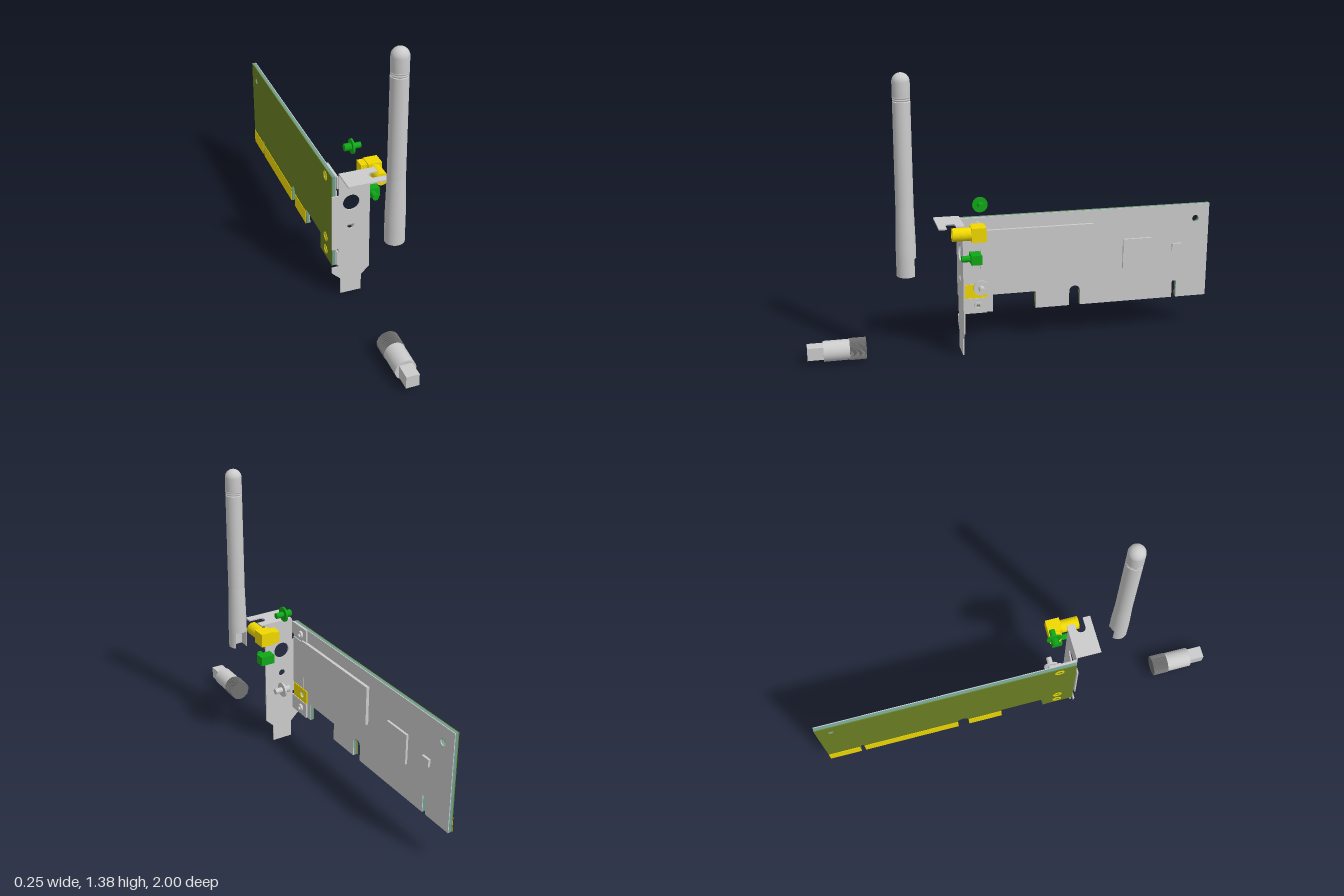
import * as THREE from 'three';

const GREY = 0xcccccc, YELLOW = 0xf0d800, GREEN = 0x10a818, OLIVE = 0x6b7f22, TEAL = 0x6f9d92;

function add(parent, name, geo, color = GREY) {
  const mesh = new THREE.Mesh(geo, new THREE.MeshStandardMaterial({ color }));
  mesh.name = name;
  parent.add(mesh);
}

function addGroup(parent, name) {
  const group = new THREE.Group();
  group.name = name;
  parent.add(group);
  return group;
}

// Box given by its limits on each axis
function box(parent, name, [x0, x1], [y0, y1], [z0, z1], color) {
  const g = new THREE.BoxGeometry(x1 - x0, y1 - y0, z1 - z0);
  add(parent, name, g.translate((x0 + x1) / 2, (y0 + y1) / 2, (z0 + z1) / 2), color);
}

// Cylinder along x or z between two positions
function rod(parent, name, axis, r, a, b, c1, c2, color, sides = 32) {
  const g = new THREE.CylinderGeometry(r, r, b - a, sides);
  if (axis === 'x') g.rotateZ(-Math.PI / 2).translate((a + b) / 2, c1, c2);
  else g.rotateX(Math.PI / 2).translate(c1, c2, (a + b) / 2);
  add(parent, name, g, color);
}

const circleHole = (x, y, r) => new THREE.Path().absarc(x, y, r, 0, Math.PI * 2, true);

function shapeOf(points, holes = []) {
  const s = new THREE.Shape(points.map(([x, y]) => new THREE.Vector2(x, y)));
  for (const [x, y, r] of holes) s.holes.push(circleHole(x, y, r));
  return s;
}

function ringShape(x, y, outer, inner) {
  const s = new THREE.Shape().absarc(x, y, outer, 0, Math.PI * 2, false);
  s.holes.push(circleHole(x, y, inner));
  return s;
}

const extrude = (shape, depth) =>
  new THREE.ExtrudeGeometry(shape, { depth, bevelEnabled: false, curveSegments: 20 });

// Upright plate lying in the z-y plane; the shape uses (-z, y)
function sidePlate(parent, name, shape, x0, x1, color) {
  add(parent, name, extrude(shape, x1 - x0).rotateY(Math.PI / 2).translate(x0, 0, 0), color);
}

const rect = (z0, z1, y0, y1) => [[-z1, y0], [-z0, y0], [-z0, y1], [-z1, y1]];

function buildBoard(root) {
  const board = addGroup(root, 'circuitBoard');
  const arch = [];
  for (let i = 0; i <= 10; i++) {
    const a = Math.PI * (1 - i / 10);
    arch.push([0.3125 + 0.0275 * Math.cos(a), 0.237 + 0.0275 * Math.sin(a)]);
  }
  const outline = [
    [-0.258, 0.163], [-0.1, 0.163], [-0.1, 0.25], [0.115, 0.25], [0.115, 0.163], [0.285, 0.163],
    ...arch, [0.34, 0.163], [0.82, 0.163], [0.82, 0.25], [0.842, 0.25], [0.842, 0.163],
    [1, 0.163], [1, 0.648], [-0.258, 0.648],
  ];
  const holes = [[0.93, 0.572, 0.017], [-0.175, 0.61, 0.014], [-0.175, 0.275, 0.014], [-0.175, 0.203, 0.014]];
  const shape = shapeOf(outline, holes);
  sidePlate(board, 'solderSide', shape, -0.127, -0.123, OLIVE);
  sidePlate(board, 'boardCore', shape, -0.123, -0.109, TEAL);
  sidePlate(board, 'componentSide', shape, -0.109, -0.105, GREY);

  // Edge contacts
  for (const [z0, z1] of [[-0.285, -0.115], [-0.82, -0.34], [-1, -0.842]])
    box(board, 'edgeContacts', [-0.129, -0.127], [0.163, 0.235], [z0, z1], YELLOW);

  // Plated rings around the mounting holes
  for (const y of [0.61, 0.275, 0.203])
    sidePlate(board, 'holeRing', ringShape(-0.175, y, 0.023, 0.013), -0.129, -0.127, YELLOW);
  sidePlate(board, 'groundPad', shapeOf(rect(0.13, 0.255, 0.24, 0.31), [[-0.175, 0.275, 0.016]]), -0.105, -0.101, YELLOW);

  // Components
  box(board, 'shield', [-0.105, -0.09], [0.39, 0.583], [-0.4, 0.16]);
  box(board, 'mainChip', [-0.105, -0.094], [0.342, 0.49], [-0.7, -0.555]);
  box(board, 'smallChip', [-0.105, -0.094], [0.413, 0.45], [-0.857, -0.81]);
  box(board, 'connectorBase', [-0.105, -0.1], [0.32, 0.568], [0.16, 0.255]);
}

function buildBracket(root) {
  const bracket = addGroup(root, 'bracket');
  const face = shapeOf([
    [-0.088, 0], [0.015, 0], [0.015, 0.085], [0.055, 0.125], [0.055, 0.66], [-0.096, 0.66],
    [-0.096, 0.548], [-0.13, 0.548], [-0.13, 0.258], [-0.098, 0.258], [-0.098, 0.155],
    [-0.13, 0.155], [-0.13, 0.125], [-0.088, 0.085],
  ], [[-0.036, 0.503, 0.04], [-0.038, 0.378, 0.017]]);
  add(bracket, 'bracketFace', extrude(face, 0.007).translate(0, 0, 0.263));

  // Top flange with an open screw slot; the shape uses (x, -z)
  const flange = shapeOf([[-0.095, -0.385], [0.095, -0.385], [0.095, -0.348], [0.047, -0.348]]);
  flange.absarc(0.047, -0.325, 0.023, -Math.PI / 2, Math.PI / 2, true);
  flange.lineTo(0.075, -0.302);
  flange.lineTo(0.075, -0.263);
  flange.lineTo(-0.095, -0.263);
  add(bracket, 'bracketFlange', extrude(flange, 0.007).rotateX(-Math.PI / 2).translate(0, 0.657, 0));

  // Tabs screwed to the board
  for (const [y0, y1, hole] of [[0.585, 0.648, 0.61], [0.163, 0.24, 0.203]]) {
    sidePlate(bracket, 'bracketTab', shapeOf(rect(0.13, 0.266, y0, y1), [[-0.175, hole, 0.014]]), -0.105, -0.097);
    sidePlate(bracket, 'tabCollar', ringShape(-0.175, hole, 0.019, 0.01), -0.1, -0.086);
  }
}

function buildScrew(root, name, x, y, color) {
  const screw = addGroup(root, name);
  rod(screw, 'screwHead', 'x', 0.018, x - 0.038, x - 0.005, y, 0.178, color, 6);
  rod(screw, 'screwWasher', 'x', 0.036, x - 0.005, x + 0.004, y, 0.178, color);
  rod(screw, 'screwShaft', 'x', 0.014, x + 0.004, x + 0.042, y, 0.178, color, 20);
}

function buildConnectors(root) {
  // Coaxial socket with a hollow barrel
  const socket = addGroup(root, 'antennaSocket');
  box(socket, 'socketBody', [0.058, 0.125], [0.597, 0.664], [0.17, 0.238], YELLOW);
  box(socket, 'socketFoot', [0.027, 0.058], [0.602, 0.659], [0.17, 0.225], YELLOW);
  add(socket, 'socketBarrel', extrude(ringShape(0.09, 0.63, 0.031, 0.016), 0.087).translate(0, 0, 0.238), YELLOW);
  rod(socket, 'socketPin', 'z', 0.006, 0.238, 0.31, 0.09, 0.63, YELLOW, 12);

  const lamp = addGroup(root, 'indicatorLamp');
  box(lamp, 'lampBody', [0.045, 0.116], [0.485, 0.53], [0.19, 0.24], GREEN);
  rod(lamp, 'lampLens', 'z', 0.015, 0.24, 0.28, 0.08, 0.507, GREEN, 20);
}

function buildAntenna(root) {
  const antenna = addGroup(root, 'antenna');
  antenna.position.set(0.065, 0, 0.533);
  const lathe = (name, pts) =>
    add(antenna, name, new THREE.LatheGeometry(pts.map(([r, y]) => new THREE.Vector2(r, y)), 40));
  lathe('antennaSleeve', [[0, 0.53], [0.046, 0.53], [0.046, 0.53], [0.046, 0.58], [0.041, 0.77]]);
  lathe('antennaShaft', [[0.041, 0.77], [0.04, 1.248], [0.04, 1.248], [0.036, 1.25]]);
  // Two thin grooves below the cap
  for (const y of [1.25, 1.26])
    lathe('antennaGroove', [[0.037, y], [0.037, y + 0.004], [0.04, y + 0.004], [0.04, y + 0.009], [0.037, y + 0.01]]);
  const dome = [[0.037, 1.268], [0.04, 1.27]];
  for (let i = 0; i <= 10; i++) {
    const a = (i / 10) * Math.PI / 2;
    dome.push([0.04 * Math.cos(a), 1.335 + 0.04 * Math.sin(a)]);
  }
  lathe('antennaCap', dome);
  // Slotted hinge end, open to the back; the shape uses (x, -z)
  const hinge = shapeOf([[0.03, -0.015], [-0.03, -0.015]]);
  const a = Math.asin(0.03 / 0.046);
  hinge.absarc(0, 0, 0.046, Math.PI / 2 + a, Math.PI * 2.5 - a, false);
  add(antenna, 'antennaHinge', extrude(hinge, 0.085).rotateX(-Math.PI / 2).translate(0, 0.445, 0));
}

function buildPlug(root) {
  const plug = addGroup(root, 'cablePlug');
  box(plug, 'plugTail', [-0.069, -0.008], [0.028, 0.089], [0.92, 1]);
  rod(plug, 'plugBarrel', 'z', 0.049, 0.8, 0.925, -0.038, 0.058, GREY, 40);
  // Knurled nut
  const teeth = [];
  for (let i = 0; i < 120; i++) {
    const r = i % 2 ? 0.052 : 0.0495, t = (i / 120) * Math.PI * 2;
    teeth.push([r * Math.cos(t), r * Math.sin(t)]);
  }
  add(plug, 'plugNut', extrude(shapeOf(teeth), 0.078).translate(-0.038, 0.058, 0.725), 0x707070);
}

export function createModel() {
  const root = new THREE.Group();
  root.name = 'wirelessCardKit';
  buildBoard(root);
  buildBracket(root);
  buildConnectors(root);
  buildScrew(root, 'upperScrew', 0, 0.74, GREEN);
  buildScrew(root, 'lowerScrew', 0.01, 0.333, GREY);
  buildAntenna(root);
  buildPlug(root);
  return root;
}
